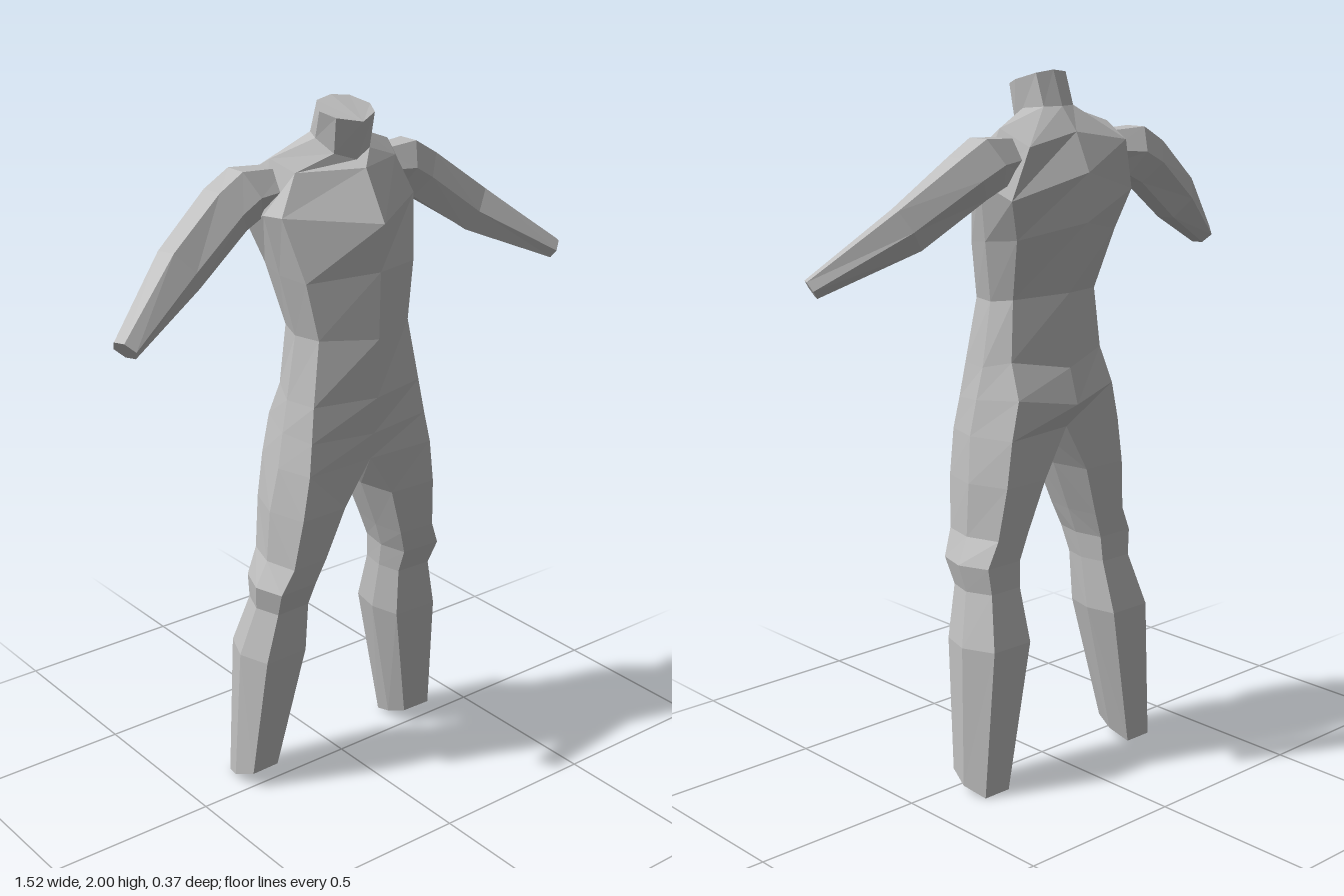
import * as THREE from 'three';

const skin = new THREE.MeshStandardMaterial({ color: 0xbebebe });

// Faceted skin over rings of points; each ring runs counter-clockwise around the loft direction
function loft(name, rings, { capStart = false, capEnd = false, mirror = false } = {}) {
  const pos = [];
  const s = mirror ? -1 : 1;
  const tri = (a, b, c) => {
    for (const p of mirror ? [a, c, b] : [a, b, c]) pos.push(p[0] * s, p[1], p[2]);
  };
  const n = rings[0].length;
  for (let i = 0; i < rings.length - 1; i++) {
    for (let j = 0; j < n; j++) {
      const k = (j + 1) % n;
      const a = rings[i][j], b = rings[i][k], c = rings[i + 1][k], d = rings[i + 1][j];
      tri(a, b, c);
      tri(a, c, d);
    }
  }
  const first = rings[0], last = rings[rings.length - 1];
  for (let j = 1; j < n - 1; j++) {
    if (capStart) tri(first[0], first[j + 1], first[j]);
    if (capEnd) tri(last[0], last[j], last[j + 1]);
  }
  const geo = new THREE.BufferGeometry();
  geo.setAttribute('position', new THREE.Float32BufferAttribute(pos, 3));
  geo.computeVertexNormals();
  const mesh = new THREE.Mesh(geo, skin);
  mesh.name = name;
  return mesh;
}

// Half section (front centre, front corner, side, back corner, back centre) to a full ring
const fullRing = (h) => [...h, ...h.slice(1, 4).reverse().map(([x, y, z]) => [-x, y, z])];

const hips = [[0, 1.01, 0.13], [0.215, 1.01, 0.135], [0.245, 1.01, 0.03], [0.205, 1.01, -0.1], [0, 1.02, -0.1]];
const neckBase = [[0, 1.845, 0.065], [0.06, 1.865, 0.045], [0.08, 1.9, -0.01], [0.055, 1.905, -0.065], [0, 1.905, -0.08]];

const torsoSections = [
  hips,
  // seat
  [[0, 1.09, 0.145], [0.2, 1.1, 0.125], [0.225, 1.11, 0.025], [0.18, 1.12, -0.1], [0, 1.09, -0.145]],
  // belly
  [[0, 1.2, 0.16], [0.185, 1.2, 0.115], [0.205, 1.2, 0.02], [0.17, 1.22, -0.06], [0, 1.19, -0.115]],
  // waist
  [[0, 1.37, 0.165], [0.155, 1.38, 0.1], [0.175, 1.38, 0.02], [0.155, 1.39, -0.05], [0, 1.4, -0.11]],
  // ribs
  [[0, 1.56, 0.17], [0.185, 1.54, 0.085], [0.21, 1.55, 0], [0.185, 1.56, -0.1], [0, 1.6, -0.18]],
  // chest
  [[0, 1.695, 0.185], [0.225, 1.715, 0.035], [0.245, 1.715, -0.02], [0.225, 1.67, -0.125], [0, 1.735, -0.185]],
  // collar
  [[0, 1.83, 0.105], [0.17, 1.825, 0.02], [0.2, 1.855, -0.05], [0.18, 1.81, -0.145], [0, 1.84, -0.135]],
  neckBase,
];

const neckTop = [[0, 1.95, 0.093], [0.065, 1.962, 0.06], [0.085, 1.975, 0.015], [0.055, 1.993, -0.035], [0, 2, -0.045]];

// Leg section from inner/outer x and front/back z; slant tips the section down to the back
function legRing([y, xi, xo, zf, zb, slant = 0]) {
  const w = xo - xi, zm = (zf + zb) / 2;
  return [
    [xi + 0.12 * w, zf - 0.005], [xo - 0.15 * w, zf], [xo, zm],
    [xo - 0.2 * w, zb], [xi + 0.1 * w, zb], [xi, zm],
  ].map(([x, z]) => [x, y + slant * (z - zm) / (zf - zb), z]);
}

const legRings = [
  [0.026, 0.23, 0.355, 0.01, -0.12, 0.05],
  [0.43, 0.148, 0.34, 0.055, -0.13],
  [0.58, 0.15, 0.3, 0.065, -0.085],
  [0.655, 0.143, 0.312, 0.095, -0.08],
  [0.73, 0.118, 0.276, 0.11, -0.085],
  [0.88, 0.06, 0.265, 0.13, -0.1],
].map(legRing).concat([[...hips, [0, 0.99, 0.02]]]);

// Arm section: centre, tilt of its upright axis, half height, half depth, forward yaw
function armRing([x, y, z, tilt, h, d, yaw]) {
  return [[1, -0.45], [1, 0.45], [0, 1], [-1, 0.45], [-1, -0.45], [0, -1]].map(([u, w]) => [
    x + u * h * Math.sin(tilt) - w * d * Math.sin(yaw),
    y + u * h * Math.cos(tilt),
    z + w * d * Math.cos(yaw),
  ]);
}

const armRings = [
  [0.15, 1.78, -0.06, 0.2, 0.05, 0.06, 0],
  [0.265, 1.77, -0.072, 0.42, 0.072, 0.075, 0],
  [0.33, 1.735, -0.07, 0.64, 0.07, 0.072, 0.1],
  [0.505, 1.613, -0.032, 0.6, 0.066, 0.056, 0.35],
  [0.738, 1.473, 0.07, 0.6, 0.028, 0.034, 0.45],
].map(armRing);

export function createModel() {
  const model = new THREE.Group();
  model.name = 'headlessBody';
  model.add(loft('torso', torsoSections.map(fullRing)));
  model.add(loft('neck', [neckBase, neckTop].map(fullRing), { capEnd: true }));
  for (const [side, mirror] of [['left', false], ['right', true]]) {
    model.add(loft(side + 'Leg', legRings, { capStart: true, mirror }));
    model.add(loft(side + 'Arm', armRings, { capStart: true, capEnd: true, mirror }));
  }
  return model;
}
